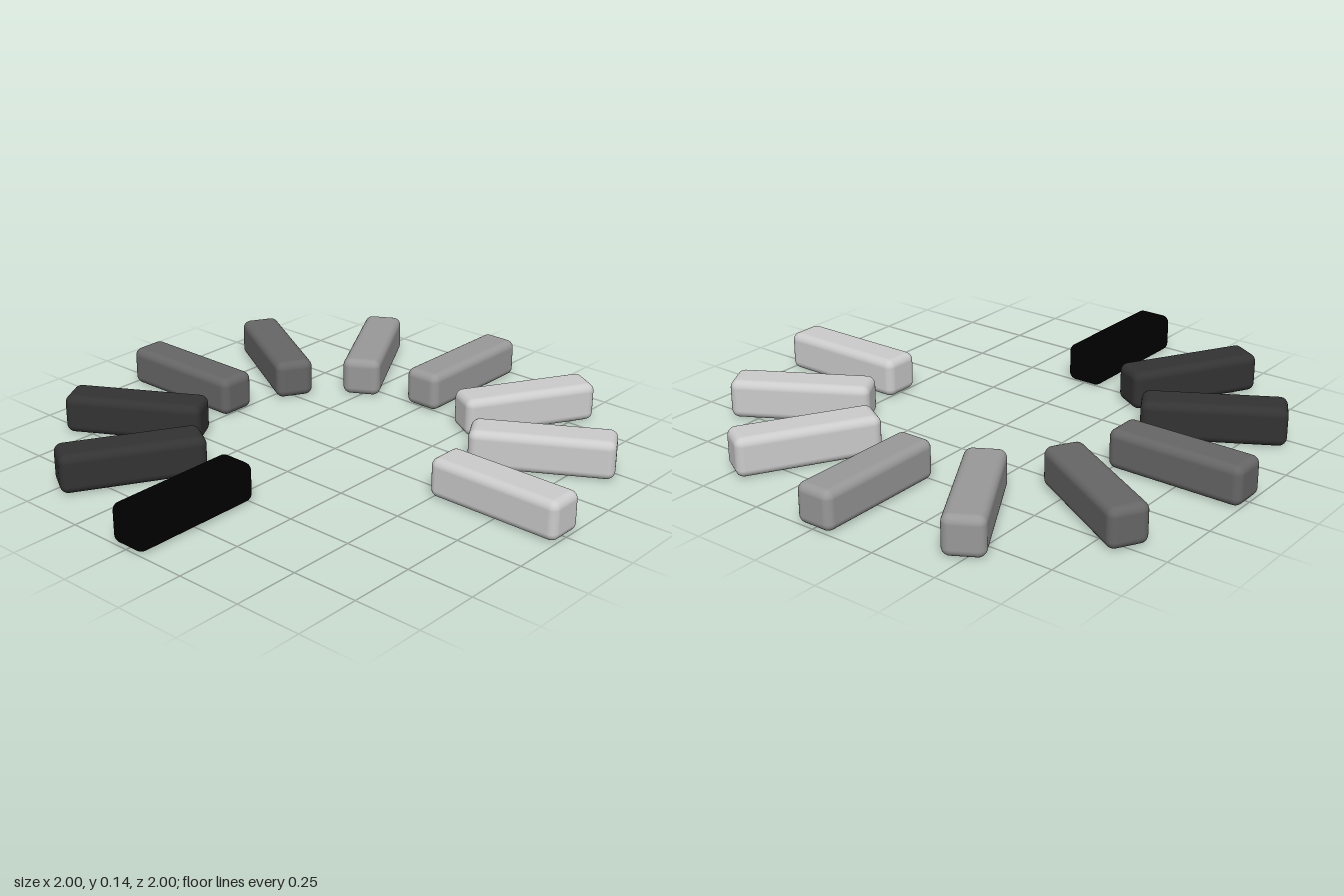
import * as THREE from 'three';
import { RoundedBoxGeometry } from 'three/addons/geometries/RoundedBoxGeometry.js';

const INNER = 0.485, OUTER = 1, THICK = 0.145, BEVEL = 0.03;

function material(name, color) {
  const m = new THREE.MeshStandardMaterial({ color });
  m.name = name;
  return m;
}

export function createModel() {
  const group = new THREE.Group();
  group.name = 'radialBars';

  const light = material('light grey', 0xcccccc);
  const mid = material('mid grey', 0x999999);
  const dark = material('dark grey', 0x666666);
  const charcoal = material('charcoal', 0x333333);
  const black = material('black', 0x000000);

  // Ten bars, 30 degrees apart, from +x round the back to the front
  const shades = [light, light, light, mid, mid, dark, dark, charcoal, charcoal, black];
  const bar = new RoundedBoxGeometry(OUTER - INNER, THICK, THICK, 4, BEVEL);
  bar.translate((INNER + OUTER) / 2, THICK / 2, 0);

  shades.forEach((shade, i) => {
    const mesh = new THREE.Mesh(bar, shade);
    mesh.name = `bar${i + 1}`;
    mesh.rotation.y = i * Math.PI / 6;
    group.add(mesh);
  });
  return group;
}
